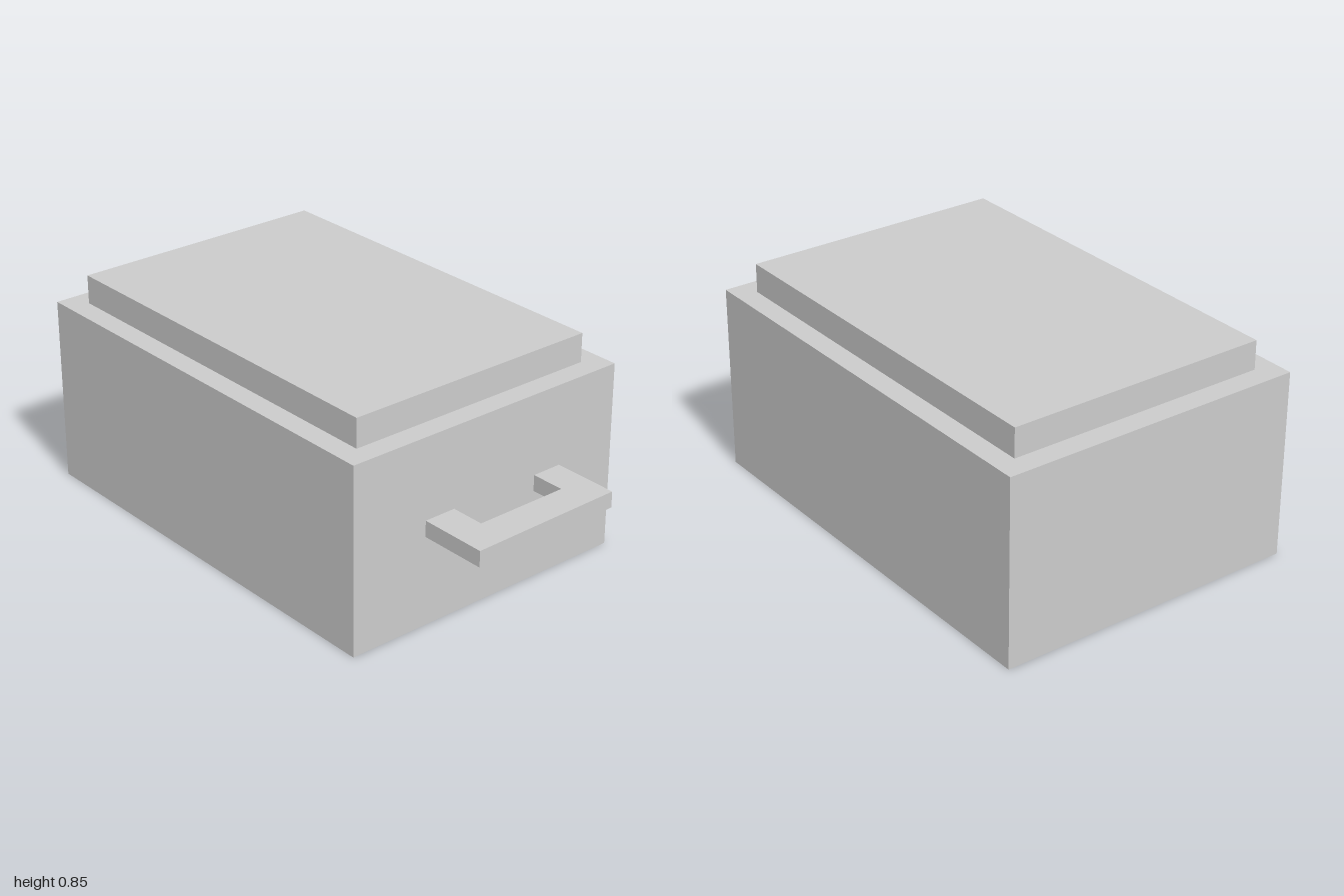
import * as THREE from 'three';

const material = new THREE.MeshStandardMaterial({ color: 0xcccccc, flatShading: true });

// Box given by its lower and upper corners
function block(name, [x0, y0, z0], [x1, y1, z1]) {
  const mesh = new THREE.Mesh(new THREE.BoxGeometry(x1 - x0, y1 - y0, z1 - z0), material);
  mesh.position.set((x0 + x1) / 2, (y0 + y1) / 2, (z0 + z1) / 2);
  mesh.name = name;
  return mesh;
}

export function createModel() {
  const model = new THREE.Group();
  model.name = 'boxWithHandle';

  // Main box and the smaller raised lid
  model.add(block('body', [-1, 0, -0.607], [0.732, 0.732, 0.605]));
  model.add(block('lid', [-0.913, 0.732, -0.523], [0.647, 0.845, 0.52]));

  // Flat U-shaped side handle, outlined in x and z
  const outline = new THREE.Shape([
    [0.732, -0.347], [0.993, -0.347], [1, 0.285], [0.732, 0.285],
    [0.732, 0.155], [0.866, 0.155], [0.866, -0.225], [0.732, -0.225],
  ].map(([x, z]) => new THREE.Vector2(x, z)));
  const handleGeometry = new THREE.ExtrudeGeometry(outline, { depth: 0.063, bevelEnabled: false });
  handleGeometry.rotateX(Math.PI / 2);
  const handle = new THREE.Mesh(handleGeometry, material);
  handle.position.y = 0.414;
  handle.name = 'handle';
  model.add(handle);

  return model;
}
